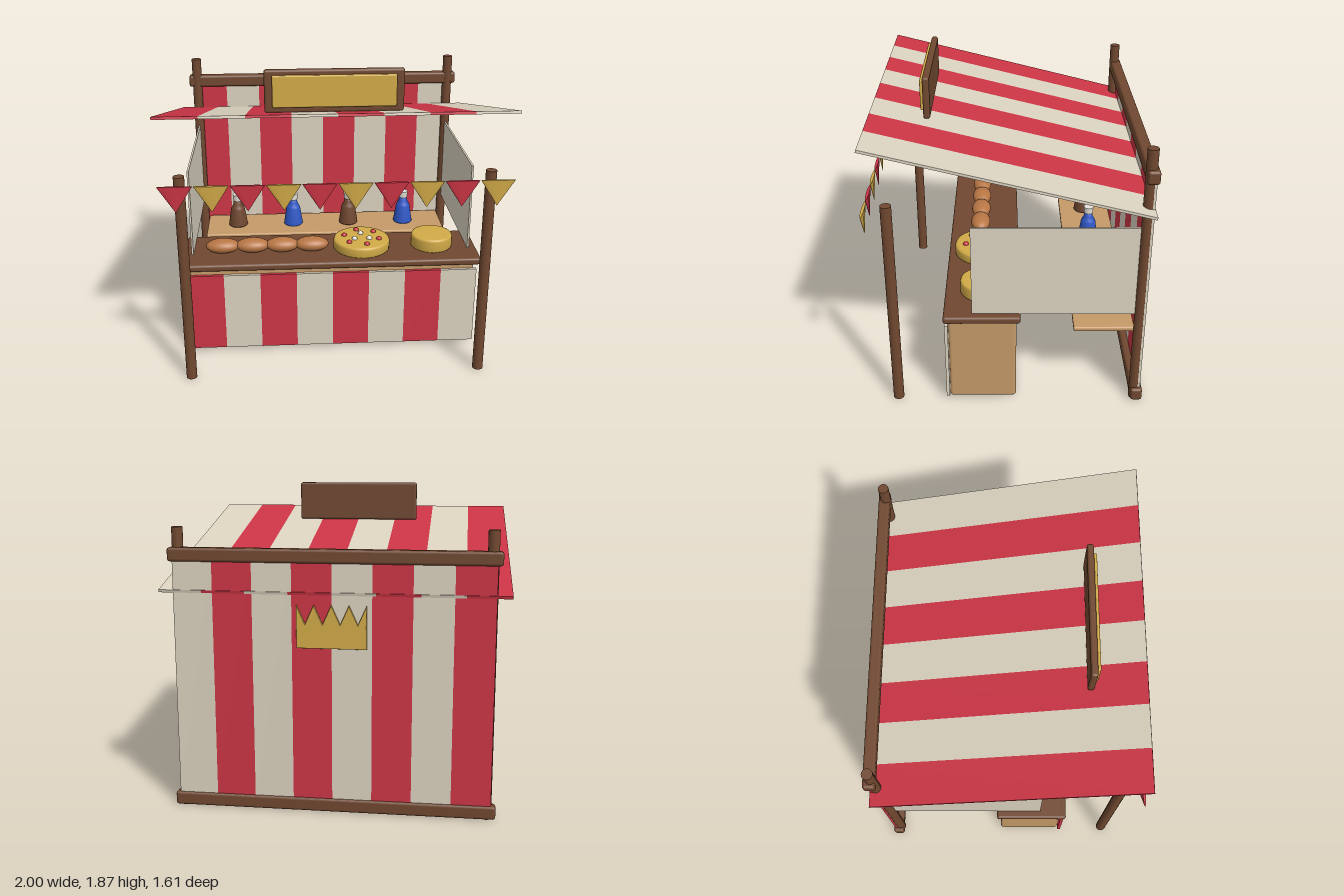
import * as THREE from 'three';
import { RoundedBoxGeometry } from 'three/addons/geometries/RoundedBoxGeometry.js';

const paint = (name, color) => {
  const m = new THREE.MeshStandardMaterial({ color });
  m.name = name;
  return m;
};

export function createModel() {
  const model = new THREE.Group();
  model.name = 'marketStall';

  const wood = paint('darkWood', 0x704830);
  const tan = paint('lightWood', 0xc69a68);
  const red = paint('redCloth', 0xcc3545);
  const cream = paint('creamCloth', 0xdbd2bf);
  const gold = paint('gold', 0xd2ab48);
  const crust = paint('breadCrust', 0xb87644);
  const blue = paint('blueGlass', 0x3058c8);
  const white = paint('white', 0xece8e0);

  const add = (name, geometry, material, x, y, z, parent = model) => {
    const mesh = new THREE.Mesh(geometry, material);
    mesh.name = name;
    mesh.position.set(x, y, z);
    parent.add(mesh);
    return mesh;
  };
  const rounded = (w, h, d, r) => new RoundedBoxGeometry(w, h, d, 3, r);

  // Eight alternating red and cream strips side by side along x
  const stripes = (name, width, height, depth, x, y, z) => {
    const group = new THREE.Group();
    group.name = name;
    group.position.set(x, y, z);
    const w = width / 8;
    for (let i = 0; i < 8; i++) {
      add(name + 'Stripe', new THREE.BoxGeometry(w, height, depth),
        i % 2 ? cream : red, (i - 3.5) * w, 0, 0, group);
    }
    model.add(group);
    return group;
  };

  // Posts and side curtains, mirrored
  for (const s of [-1, 1]) {
    add('frontPost', new THREE.CylinderGeometry(0.032, 0.032, 1.315, 20), wood, s * 0.888, 0.6575, 0.675);
    add('backPost', new THREE.CylinderGeometry(0.032, 0.032, 1.655, 20), wood, s * 0.888, 0.8275, -0.757);
    add('sideCurtain', new THREE.BoxGeometry(0.012, 0.57, 0.95), cream, s * 0.888, 0.89, -0.255);
  }

  // Back wall with its two beams
  stripes('backWall', 1.83, 1.42, 0.014, 0, 0.77, -0.782);
  add('topBeam', rounded(1.885, 0.08, 0.07, 0.016), wood, 0, 1.5, -0.766);
  add('bottomBeam', rounded(1.885, 0.08, 0.07, 0.016), wood, 0, 0.042, -0.766);

  // Sloping roof, raised at the front
  const roof = stripes('roof', 2, 0.016, 1.632, 0, 1.49, 0);
  roof.rotation.x = -Math.atan2(0.4, 1.58);

  // Sign board on the roof
  add('signBoard', rounded(0.8, 0.25, 0.04, 0.014), wood, 0, 1.745, 0.475);
  add('signPanel', rounded(0.71, 0.185, 0.03, 0.008), gold, 0, 1.748, 0.499);

  // Crown ornament on the back wall
  const crown = new THREE.Shape();
  crown.moveTo(-0.2, 0);
  crown.lineTo(0.2, 0);
  for (let i = 0; i < 9; i++) crown.lineTo(0.2 - i * 0.05, i % 2 ? 0.14 : 0.25);
  crown.closePath();
  add('crown', new THREE.ExtrudeGeometry(crown, {
    depth: 0.008, bevelThickness: 0.004, bevelSize: 0.004, bevelOffset: -0.004, bevelSegments: 2,
  }), gold, 0, 0.98, -0.801);

  // Counter
  add('counterBody', rounded(1.8, 0.565, 0.4, 0.02), tan, 0, 0.2875, 0.16);
  add('counterTop', rounded(1.885, 0.045, 0.45, 0.016), wood, 0, 0.588, 0.162);
  stripes('counterCloth', 1.83, 0.515, 0.02, 0, 0.278, 0.371);

  // Shelf with bottles
  add('shelf', rounded(1.7, 0.03, 0.36, 0.01), tan, 0, 0.461, -0.56);
  const profile = [[0, 0], [0.062, 0], [0.068, 0.008], [0.05, 0.125], [0.044, 0.14], [0.03, 0.165], [0.028, 0.2], [0, 0.2]]
    .map(([r, y]) => new THREE.Vector2(r, y));
  for (let i = 0; i < 4; i++) {
    const x = -0.63 + i * 0.4;
    add('bottle', new THREE.LatheGeometry(profile, 20), i % 2 ? blue : wood, x, 0.476, -0.553);
    add('bottleCap', new THREE.CylinderGeometry(0.034, 0.03, 0.045, 16), white, x, 0.688, -0.553);
  }

  // Bread loaves
  for (let i = 0; i < 4; i++) {
    const loaf = add('loaf', new THREE.SphereGeometry(1, 24, 14), crust, -0.695 + i * 0.19, 0.655, 0.19);
    loaf.scale.set(0.108, 0.046, 0.065);
  }

  // Round cakes with softened rims
  const cake = (name, r, h, x, z) => {
    const pts = [[0, 0], [r - 0.008, 0], [r, 0.01], [r, h - 0.016], [r - 0.005, h - 0.005], [r - 0.016, h], [0, h]];
    add(name, new THREE.LatheGeometry(pts.map(([a, b]) => new THREE.Vector2(a, b)), 32), gold, x, 0.61, z);
  };
  cake('berryCake', 0.182, 0.07, 0.198, 0.165);
  cake('plainCake', 0.133, 0.09, 0.656, 0.162);

  // Berries and cream dots on the large cake
  for (let i = 0; i < 6; i++) {
    const a = i * Math.PI / 3 + 0.3;
    add('berry', new THREE.SphereGeometry(0.018, 12, 8), red, 0.198 + 0.115 * Math.cos(a), 0.68, 0.165 + 0.115 * Math.sin(a));
  }
  for (let i = 0; i < 3; i++) {
    const a = i * Math.PI * 2 / 3 + 2.6;
    add('creamDot', new THREE.SphereGeometry(0.018, 12, 8), white, 0.198 + 0.055 * Math.cos(a), 0.682, 0.165 + 0.055 * Math.sin(a));
  }

  // Bunting of flattened, downward-pointing cones
  for (let i = 0; i < 10; i++) {
    const flag = add('buntingFlag', new THREE.ConeGeometry(0.098, 0.155, 16), i % 2 ? gold : red, -0.9 + i * 0.2, 1.2225, 0.797);
    flag.rotation.z = Math.PI;
    flag.scale.z = 0.09;
  }

  return model;
}
